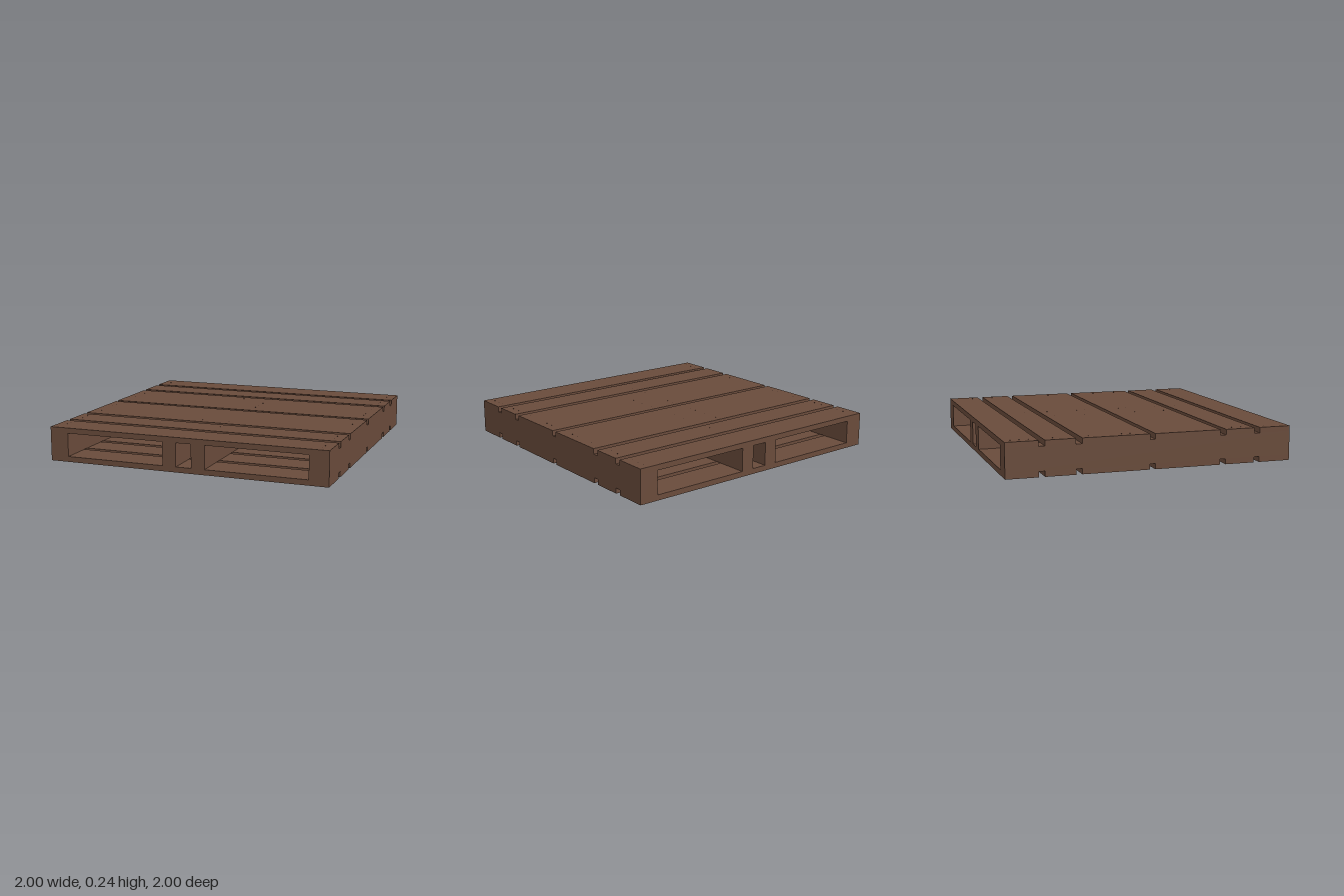
import * as THREE from 'three';

const wood = new THREE.MeshStandardMaterial({ color: 0x694b3b });
wood.name = 'brown wood';
const iron = new THREE.MeshStandardMaterial({ color: 0x3a2a22 });
iron.name = 'dark nail';

const HEIGHT = 0.24, BOARD = 0.038;

// Box given by its limits on each axis
function plank(name, [x0, x1], [y0, y1], [z0, z1]) {
  const mesh = new THREE.Mesh(new THREE.BoxGeometry(x1 - x0, y1 - y0, z1 - z0), wood);
  mesh.name = name;
  mesh.position.set((x0 + x1) / 2, (y0 + y1) / 2, (z0 + z1) / 2);
  return mesh;
}

export function createModel() {
  const pallet = new THREE.Group();
  pallet.name = 'pallet';

  // Four stringers running front to back: two at the sides, a pair in the middle
  for (const xs of [[-1, -0.867], [-0.154, -0.057], [0.053, 0.15], [0.865, 1]]) {
    pallet.add(plank('stringer', xs, [BOARD, HEIGHT - BOARD], [-1, 1]));
  }

  // Deck boards, the same spacing above and below
  const boards = [[-1, -0.778], [-0.737, -0.53], [-0.488, -0.021],
    [0.016, 0.483], [0.524, 0.733], [0.774, 1]];
  for (const zs of boards) {
    pallet.add(plank('topBoard', [-1, 1], [HEIGHT - BOARD, HEIGHT], zs));
    pallet.add(plank('bottomBoard', [-1, 1], [0, BOARD], zs));
  }

  // Nail heads over the stringers
  const head = new THREE.CylinderGeometry(0.003, 0.003, 0.002, 8);
  const rows = [
    [0.937, [-0.95, -0.89, -0.83, -0.67, -0.6, -0.43, -0.37, -0.2, -0.14,
      0.13, 0.19, 0.37, 0.42, 0.59, 0.66, 0.83, 0.88, 0.94]],
    [0.1, [-0.6, -0.43, -0.31, -0.2, -0.14, 0.07, 0.13, 0.19, 0.3, 0.42, 0.59]],
  ];
  for (const [x, zs] of rows) for (const side of [-1, 1]) for (const z of zs) {
    const nail = new THREE.Mesh(head, iron);
    nail.name = 'nail';
    nail.position.set(side * x, HEIGHT, z);
    pallet.add(nail);
  }
  return pallet;
}
